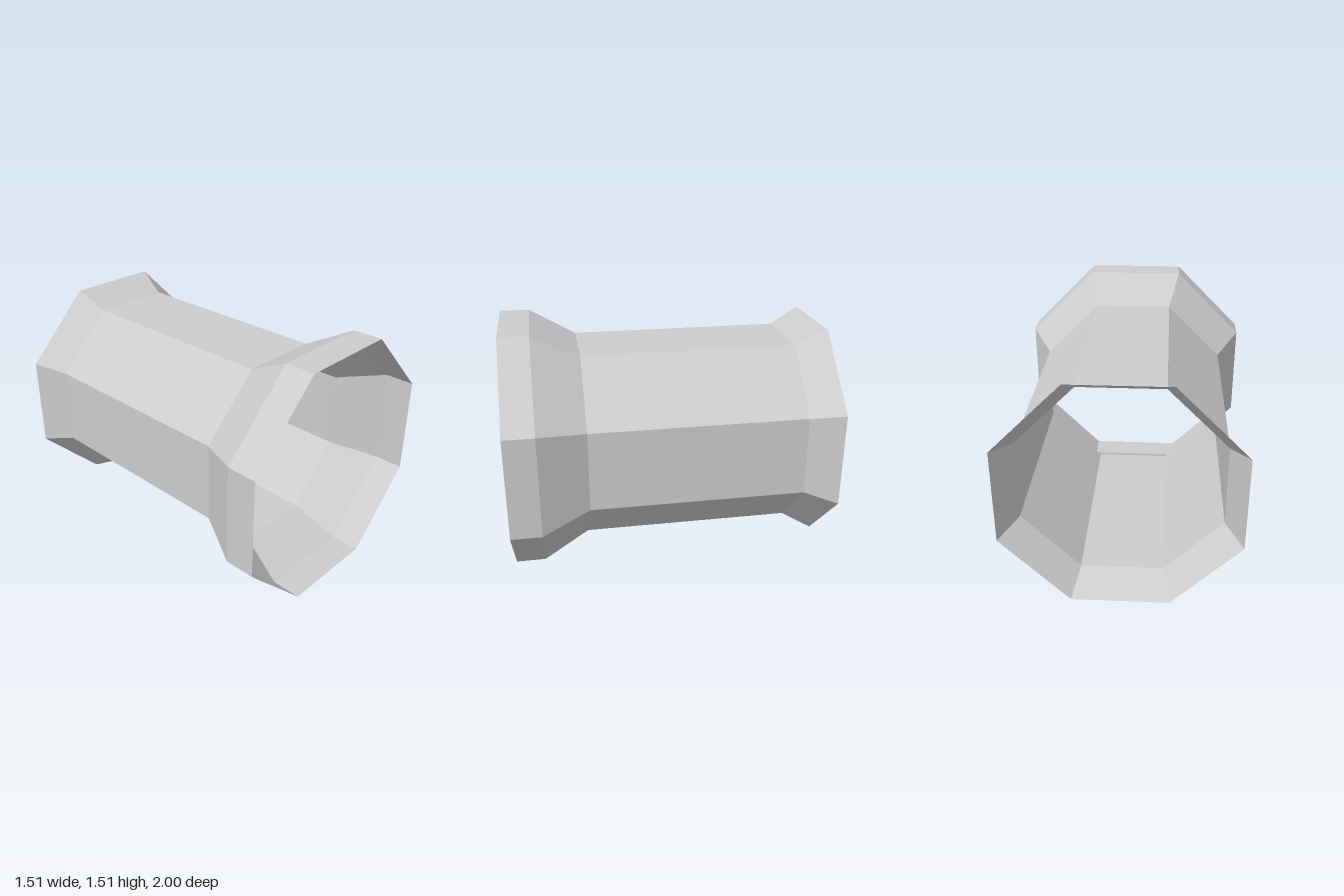
import * as THREE from 'three';

export function createModel() {
  const group = new THREE.Group();
  group.name = 'octagonalPipe';

  const grey = new THREE.MeshStandardMaterial({ color: 0xcccccc, flatShading: true, side: THREE.DoubleSide });
  grey.name = 'grey';

  const SIDES = 8;
  const CENTRE_Y = 0.755;
  const toRadius = 1 / Math.cos(Math.PI / SIDES); // flat-to-centre distance -> corner radius

  // Open, thin-walled section running along z; profile pairs are [flat distance, z]
  function section(name, profile) {
    const points = profile.map(([flat, z]) => new THREE.Vector2(flat * toRadius, z));
    const geometry = new THREE.LatheGeometry(points, SIDES, Math.PI / SIDES);
    geometry.rotateX(Math.PI / 2);
    const mesh = new THREE.Mesh(geometry, grey);
    mesh.name = name;
    mesh.position.y = CENTRE_Y;
    group.add(mesh);
  }

  section('rearFlare', [[0.705, -1], [0.603, -0.81]]);
  section('barrel', [[0.603, -0.81], [0.603, 0.525]]);
  section('frontFlare', [[0.603, 0.525], [0.755, 0.815]]);
  section('frontCollar', [[0.755, 0.815], [0.755, 1]]);

  return group;
}
